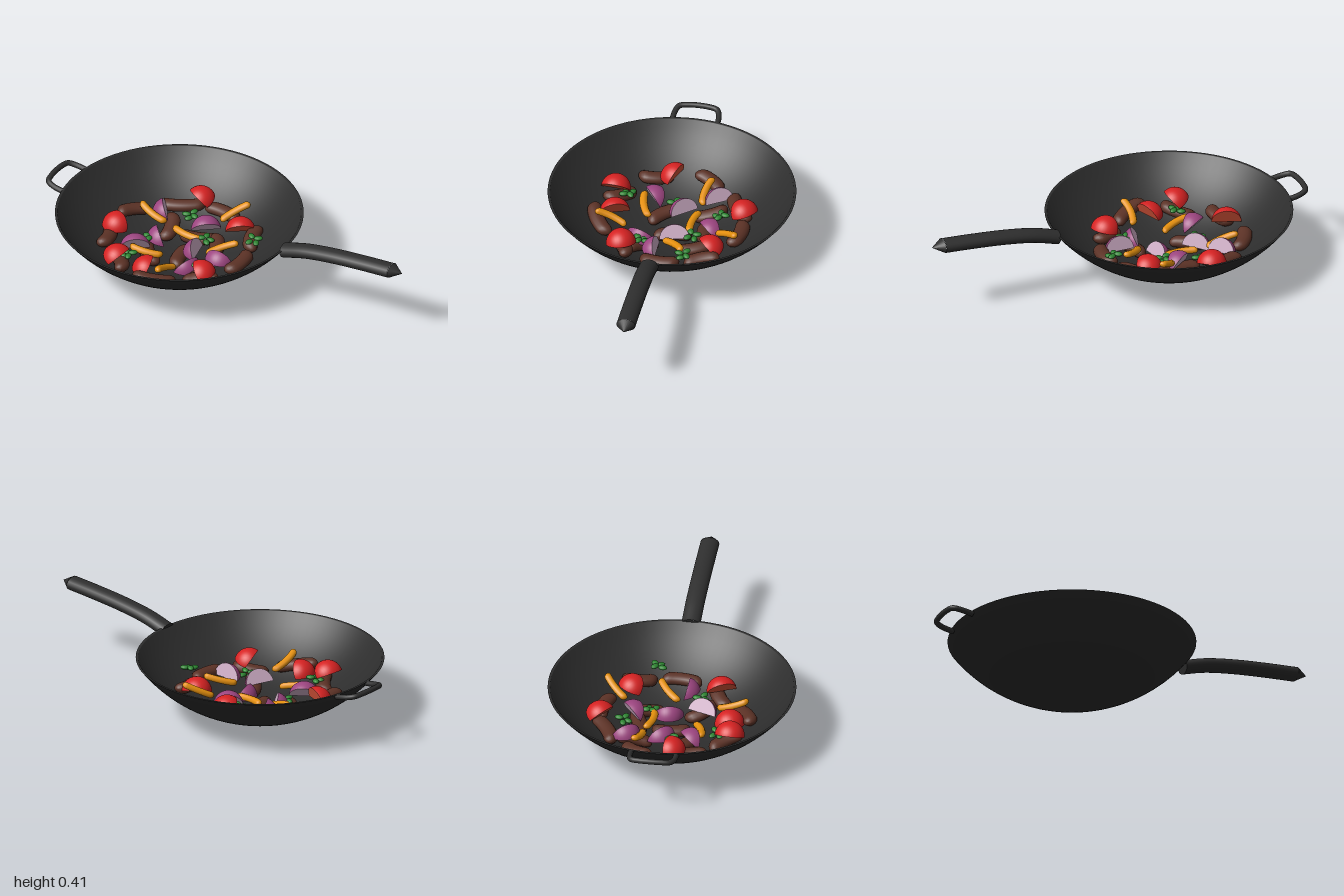
import * as THREE from 'three';

const mat = (name, color, side = THREE.FrontSide) => {
  const m = new THREE.MeshStandardMaterial({ color, side });
  m.name = name;
  return m;
};

const CX = -0.28, R = 0.772, WALL = 0.015;
const cap = (r) => R - Math.sqrt(R * R - r * r);
// Height of the pan's inside surface at a given position
const floorAt = (x, z) => WALL + cap(Math.min(0.6, Math.hypot(x - CX, z)));

export function createModel() {
  const iron = mat('iron', 0x2d2d2d);
  const grip = mat('handle', 0x2f2f2f);
  const meat = mat('meat', 0x5c3226);
  const tomatoSkin = mat('tomato skin', 0xd62222);
  const tomatoFlesh = mat('tomato flesh', 0xd8553a, THREE.DoubleSide);
  const onionSkin = mat('onion skin', 0x9c4580);
  const onionFlesh = mat('onion flesh', 0xcfaec6, THREE.DoubleSide);
  const pepper = mat('pepper', 0xe8920e);
  const herb = mat('herb', 0x2c8430);

  const model = new THREE.Group();
  model.name = 'wok';
  const add = (parent, name, geo, material) => {
    const mesh = new THREE.Mesh(geo, material);
    mesh.name = name;
    parent.add(mesh);
    return mesh;
  };
  const group = (name) => {
    const g = new THREE.Group();
    g.name = name;
    model.add(g);
    return g;
  };

  // Bowl: outer cap, thin rim, inner cap
  const profile = [];
  const N = 24;
  for (let i = 0; i <= N; i++) profile.push(new THREE.Vector2(0.615 * i / N, cap(0.615 * i / N)));
  profile.push(new THREE.Vector2(0.615, 0.306), new THREE.Vector2(0.604, 0.306));
  for (let i = N; i >= 0; i--) profile.push(new THREE.Vector2(0.602 * i / N, WALL + cap(0.602 * i / N)));
  add(model, 'bowl', new THREE.LatheGeometry(profile, 80), iron).position.x = CX;

  // Long handle with an oval section and a pointed end
  const handle = group('longHandle');
  handle.scale.z = 1.4;
  const axis = new THREE.CatmullRomCurve3([
    [0.325, 0.288], [0.45, 0.323], [0.6, 0.346], [0.78, 0.362], [0.94, 0.372],
  ].map(([x, y]) => new THREE.Vector3(x, y, 0)));
  add(handle, 'handleShaft', new THREE.TubeGeometry(axis, 32, 0.034, 20), grip);
  const tip = add(handle, 'handleTip', new THREE.ConeGeometry(0.034, 0.06, 20), grip);
  tip.position.set(0.97, 0.373, 0);
  tip.rotation.z = -Math.PI / 2;
  const root = add(handle, 'handleRoot', new THREE.CircleGeometry(0.034, 20), grip);
  root.position.set(0.325, 0.288, 0);
  root.rotation.set(0, -Math.PI / 2, 0.28, 'ZYX');

  // Loop handle on the opposite side
  const loop = new THREE.CatmullRomCurve3([
    [-0.875, 0.292, -0.114], [-0.94, 0.304, -0.11], [-0.974, 0.313, -0.095], [-0.986, 0.317, -0.05],
    [-0.986, 0.317, 0.05], [-0.974, 0.313, 0.095], [-0.94, 0.304, 0.11], [-0.875, 0.292, 0.114],
  ].map((p) => new THREE.Vector3(...p)));
  add(model, 'loopHandle', new THREE.TubeGeometry(loop, 48, 0.014, 12), grip);

  // Rounded strip along x, bent sideways
  const strip = (length, radius, height, bend, segs) => {
    const g = new THREE.CapsuleGeometry(radius, length - 2 * radius, 5, segs, 10);
    g.rotateZ(Math.PI / 2);
    g.scale(1, height, 1);
    const p = g.attributes.position;
    for (let i = 0; i < p.count; i++) {
      const t = p.getX(i) / (length / 2);
      p.setZ(i, p.getZ(i) + bend * (t * t - 0.4));
    }
    g.computeVertexNormals();
    return g;
  };
  // Lay a strip between two floor positions, following the slope
  const layStrip = (parent, name, geo, material, [x1, z1, x2, z2], lift) => {
    const m = add(parent, name, geo, material);
    const x = (x1 + x2) / 2, z = (z1 + z2) / 2;
    const slope = Math.atan2(floorAt(x2, z2) - floorAt(x1, z1), Math.hypot(x2 - x1, z2 - z1));
    m.position.set(x, floorAt(x, z) + lift, z);
    m.rotation.set(0, Math.atan2(z1 - z2, x2 - x1), slope, 'YZX');
  };

  // Meat strips
  const meats = group('meatStrips');
  [
    [-0.54, -0.25, -0.34, -0.36], [-0.33, -0.36, -0.13, -0.33], [-0.57, -0.2, -0.67, -0.06],
    [-0.63, 0.06, -0.59, 0.22], [-0.29, -0.1, -0.26, 0.09], [0.07, -0.1, 0.06, 0.1],
    [0.0, -0.27, 0.04, -0.14], [-0.45, -0.24, -0.41, -0.09], [-0.37, -0.15, -0.18, -0.19],
    [-0.51, 0.22, -0.39, 0.36], [-0.31, 0.41, -0.12, 0.3], [-0.12, 0.25, 0.04, 0.16],
    [-0.17, 0.07, -0.08, 0.18], [-0.18, -0.2, -0.13, -0.08], [-0.46, 0.02, -0.36, 0.12],
  ].forEach((e, i) => {
    const len = Math.hypot(e[2] - e[0], e[3] - e[1]);
    const bend = (i % 2 ? 1 : -1) * 0.018;
    layStrip(meats, 'meatStrip', strip(Math.max(len, 0.18), 0.038, 0.75, bend, 14), meat, e, 0.03);
  });

  // Pepper strips lying on top
  const peppers = group('pepperStrips');
  [
    [-0.19, -0.25, -0.09, -0.36, 0.01], [-0.59, -0.14, -0.43, -0.115, -0.015], [-0.38, -0.11, -0.22, -0.09, -0.015],
    [-0.12, 0.0, -0.01, -0.1, 0.012], [-0.46, 0.18, -0.3, 0.13, -0.015], [-0.2, 0.37, -0.19, 0.21, 0.015],
  ].forEach((e) => layStrip(peppers, 'pepperStrip', strip(0.17, 0.02, 0.85, e[4], 8), pepper, e, 0.095));

  // Wedge cut from a ball: long axis on x, skin facing up, two flat cut sides
  const wedge = (parent, name, r, deg, skin, flesh, [x, z, yaw, roll], lift) => {
    const a = THREE.MathUtils.degToRad(deg);
    const g = new THREE.Group();
    g.name = name;
    parent.add(g);
    const orient = (geo) => geo.rotateX(-Math.PI / 2).rotateY(Math.PI / 2);
    add(g, name + 'Skin', orient(new THREE.SphereGeometry(r, 14, 18, Math.PI / 2 - a / 2, a)), skin);
    for (const s of [-1, 1]) {
      const cut = new THREE.CircleGeometry(r, 18, -Math.PI / 2, Math.PI);
      cut.rotateY(-Math.PI / 2 + s * a / 2);
      add(g, name + 'CutSide', orient(cut), flesh);
    }
    g.position.set(x, floorAt(x, z) + lift, z);
    g.rotation.set(THREE.MathUtils.degToRad(roll), THREE.MathUtils.degToRad(yaw), 0, 'YXZ');
  };

  // Tomato wedges: x, z, yaw, roll
  const tomatoes = group('tomatoWedges');
  [
    [-0.36, -0.345, -35, -12], [-0.065, -0.23, 35, -15], [-0.61, 0.045, -20, 35],
    [-0.45, 0.315, 85, -10], [-0.295, 0.29, -70, 30], [-0.03, 0.21, -65, -20],
  ].forEach((w) => wedge(tomatoes, 'tomatoWedge', 0.075, 105, tomatoSkin, tomatoFlesh, w, 0.055));

  // Onion wedges: x, z, yaw, roll
  const onions = group('onionWedges');
  [
    [-0.47, -0.205, -57, 50], [-0.245, -0.2, 38, 5], [-0.405, -0.04, -50, 48], [-0.19, -0.03, -78, 55],
    [-0.03, 0.03, 0, 45], [-0.46, 0.125, 35, -8], [-0.17, 0.13, 70, 60],
  ].forEach((w) => wedge(onions, 'onionWedge', 0.075, 62, onionSkin, onionFlesh, w, 0.06));

  // Herb sprigs: small clusters of flattened leaves
  const herbs = group('herbSprigs');
  const leaf = new THREE.SphereGeometry(0.02, 10, 8).scale(1.15, 0.55, 0.8);
  [[-0.35, -0.235], [0.07, -0.125], [-0.2, -0.115], [-0.435, 0.015], [-0.09, 0.12], [-0.425, 0.245]].forEach(([x, z], i) => {
    const sprig = new THREE.Group();
    sprig.name = 'herbSprig';
    sprig.position.set(x, floorAt(x, z) + 0.08, z);
    sprig.rotation.y = i * 1.1;
    herbs.add(sprig);
    for (const [lx, ly, lz, turn] of [[-0.026, 0, 0.004, 0.3], [0.024, 0.006, 0.01, -0.5], [0.004, 0.01, -0.02, 1.4], [0.0, -0.004, 0.026, 1.0]]) {
      const l = add(sprig, 'herbLeaf', leaf, herb);
      l.position.set(lx, ly, lz);
      l.rotation.y = turn;
    }
  });

  return model;
}
